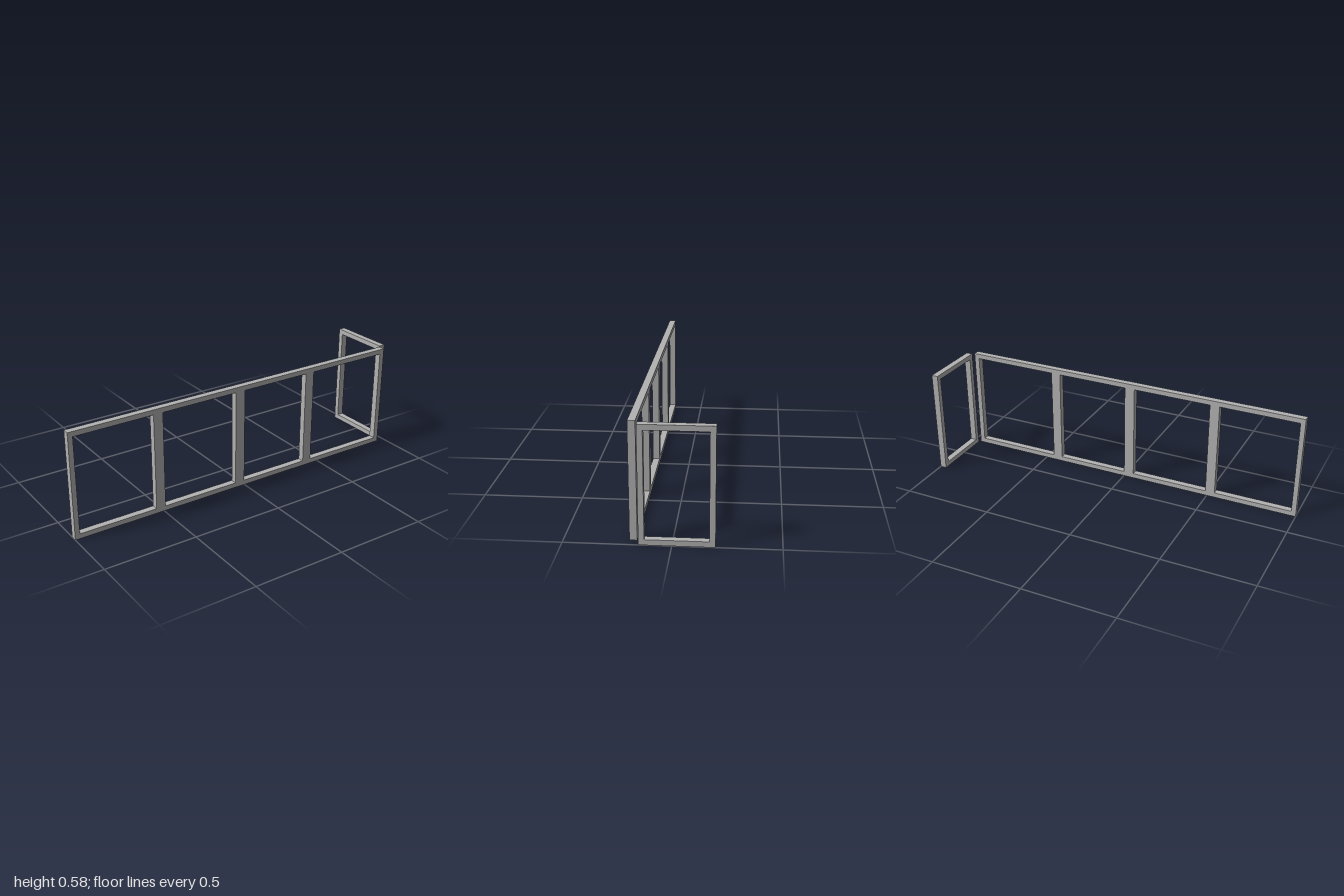
import * as THREE from 'three';

const HEIGHT = 0.577, RAIL = 0.027, DEPTH = 0.036;

// Flat frame in the XY plane, from x0 to x1, with one rectangular hole per opening
function frameGeometry(x0, x1, openings) {
  const rect = (path, a, b, c, d) =>
    path.moveTo(a, c).lineTo(b, c).lineTo(b, d).lineTo(a, d).closePath();
  const shape = rect(new THREE.Shape(), x0, x1, 0, HEIGHT);
  for (const [a, b] of openings) {
    shape.holes.push(rect(new THREE.Path(), a, b, RAIL, HEIGHT - RAIL));
  }
  return new THREE.ExtrudeGeometry(shape, { depth: DEPTH, bevelEnabled: false });
}

export function createModel() {
  const group = new THREE.Group();
  group.name = 'windowFrames';
  const grey = new THREE.MeshStandardMaterial({ color: 0xb3b3b3 });
  grey.name = 'frameGrey';

  // Long front frame with four openings
  const front = new THREE.Mesh(
    frameGeometry(-1, 0.954, [[-0.974, -0.544], [-0.491, -0.058], [-0.002, 0.397], [0.45, 0.926]]),
    grey
  );
  front.name = 'frontFrame';
  front.position.z = 0.162;

  // Short return frame, turned so its length runs along z
  const side = new THREE.Mesh(frameGeometry(-0.152, 0.198, [[-0.125, 0.17]]), grey);
  side.name = 'sideFrame';
  side.rotation.y = Math.PI / 2;
  side.position.x = 1 - DEPTH;

  group.add(front, side);
  return group;
}
